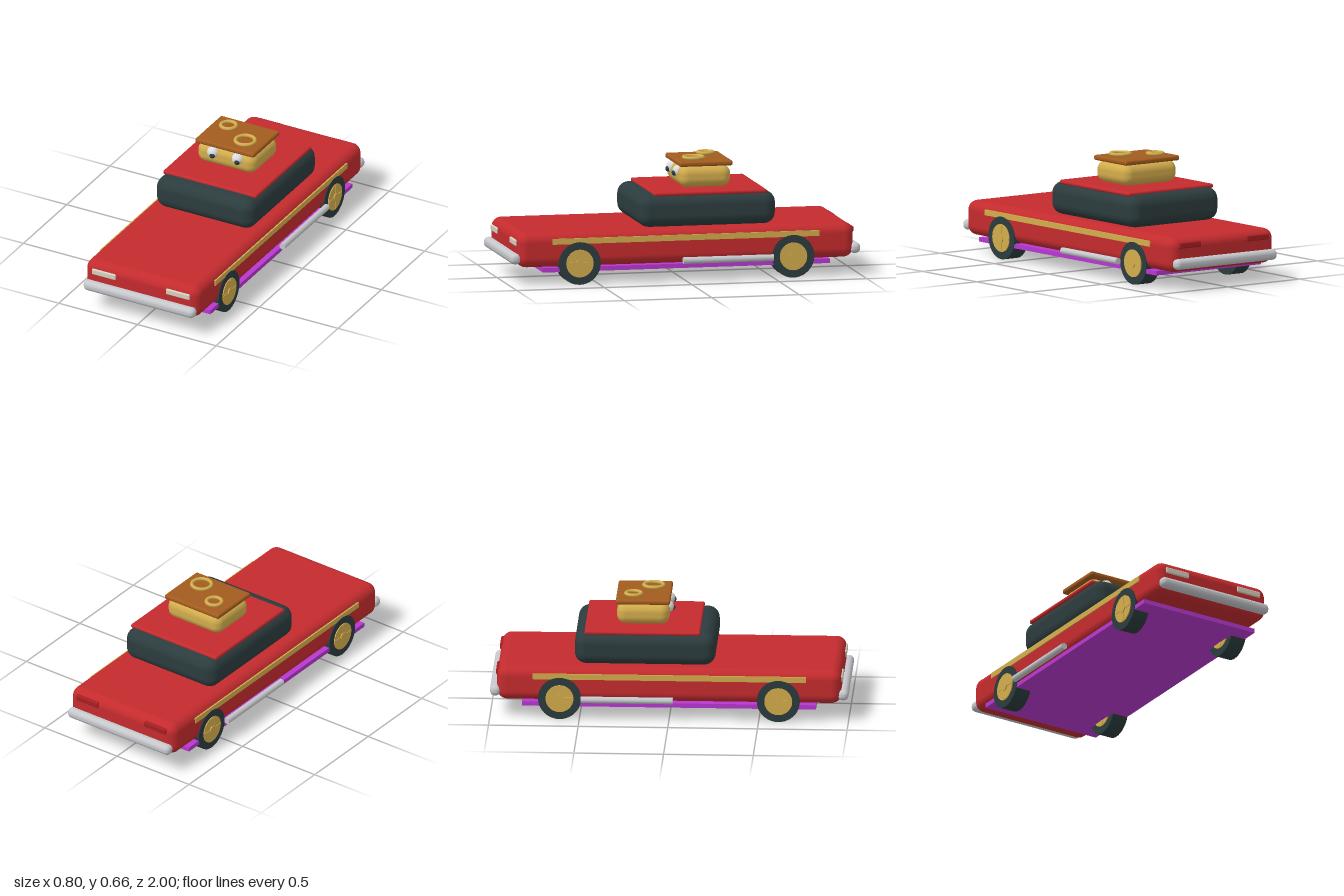
import * as THREE from 'three';
import { RoundedBoxGeometry } from 'three/addons/geometries/RoundedBoxGeometry.js';

const mat = (name, color) => {
  const m = new THREE.MeshStandardMaterial({ color });
  m.name = name;
  return m;
};

export function createModel() {
  const red = mat('red paint', 0xc42b2e);
  const tailRed = mat('tail light red', 0xa81e22);
  const slate = mat('dark slate', 0x2c3c3e);
  const gold = mat('gold', 0xd3ac4c);
  const brown = mat('brown', 0xa35c1e);
  const silver = mat('silver', 0xc6c7cb);
  const white = mat('eye white', 0xdcdcde);
  const lamp = mat('lamp cream', 0xd6cfbc);
  const magenta = mat('magenta', 0xb838d0);

  const model = new THREE.Group();
  model.name = 'car';
  const add = (name, geometry, material, x, y, z, parent = model) => {
    const mesh = new THREE.Mesh(geometry, material);
    mesh.name = name;
    mesh.position.set(x, y, z);
    parent.add(mesh);
    return mesh;
  };
  // Rounded block given by its limits in x (half width), y and z
  const block = (name, material, hx, y0, y1, z0, z1, r, x = 0) =>
    add(name, new RoundedBoxGeometry(hx * 2, y1 - y0, z1 - z0, 4, r),
      material, x, (y0 + y1) / 2, (z0 + z1) / 2);

  // Car body
  block('body', red, 0.362, 0.1, 0.295, -0.96, 0.96, 0.055);
  block('cabin', slate, 0.312, 0.295, 0.48, -0.53, 0.255, 0.065);
  block('roof', red, 0.297, 0.47, 0.494, -0.475, 0.17, 0.011);
  add('underPlate', new THREE.BoxGeometry(0.73, 0.025, 1.64), magenta, 0, 0.0875, 0);
  block('frontBumper', silver, 0.353, 0.121, 0.181, 0.94, 1.0, 0.027);
  block('rearBumper', silver, 0.353, 0.121, 0.181, -1.0, -0.94, 0.027);

  // Roof character: head and flat hat with two rings
  block('head', gold, 0.186, 0.495, 0.617, -0.3, -0.006, 0.05);
  block('hat', brown, 0.188, 0.615, 0.644, -0.306, -0.002, 0.012);
  for (const [x, z, r] of [[-0.087, -0.21, 0.043], [0.077, -0.105, 0.055]]) {
    add('hatRing', new THREE.TorusGeometry(r, 0.0105, 10, 32), gold, x, 0.653, z).rotation.x = Math.PI / 2;
  }
  for (const x of [-0.079, 0.078]) {
    add('eye', new THREE.SphereGeometry(0.035, 24, 16), white, x, 0.578, -0.02);
    add('pupil', new THREE.SphereGeometry(0.016, 16, 12), slate, x + 0.008, 0.57, 0.006);
  }

  // Wheel, built with its axle along x and the outside facing +x
  const axle = (r, w, n) => new THREE.CylinderGeometry(r, r, w, n).rotateZ(-Math.PI / 2);
  const makeWheel = () => {
    const wheel = new THREE.Group();
    wheel.name = 'wheel';
    add('tire', axle(0.12, 0.094, 40), slate, 0, 0, 0, wheel);
    add('rim', axle(0.078, 0.104, 32), gold, 0, 0, 0, wheel);
    for (let i = 0; i < 2; i++) {
      add('spoke', new THREE.BoxGeometry(0.11, 0.014, 0.145), gold, 0, 0, 0, wheel).rotation.x =
        i * Math.PI / 2;
    }
    add('hubCap', axle(0.025, 0.116, 20), gold, 0, 0, 0, wheel);
    return wheel;
  };

  // Parts repeated on both sides
  for (const s of [-1, 1]) {
    for (const z of [-0.61, 0.61]) {
      const wheel = makeWheel();
      wheel.position.set(s * 0.321, 0.12, z);
      model.add(wheel);
    }
    add('sideStripe', new THREE.BoxGeometry(0.009, 0.032, 1.525), gold, s * 0.363, 0.246, 0.003);
    add('sidePipe', new THREE.CylinderGeometry(0.019, 0.019, 0.515, 12).rotateX(Math.PI / 2),
      silver, s * 0.383, 0.119, -0.235);
    block('headlight', lamp, 0.076, 0.219, 0.255, 0.945, 0.967, 0.008, s * 0.235);
    block('tailLight', tailRed, 0.076, 0.236, 0.27, -0.967, -0.935, 0.008, s * 0.235);
  }
  return model;
}
